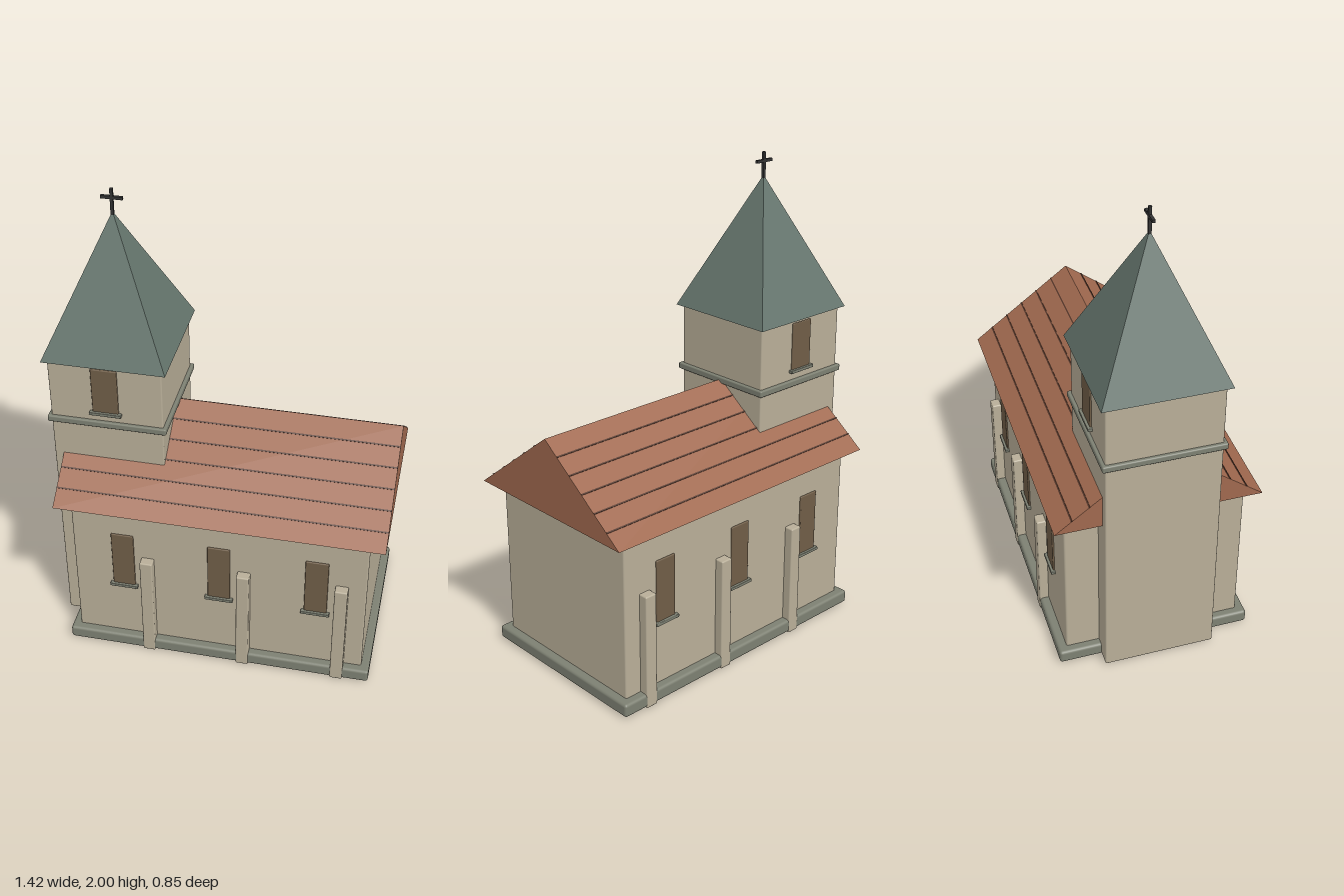
import * as THREE from 'three';
import { RoundedBoxGeometry } from 'three/addons/geometries/RoundedBoxGeometry.js';

const mat = (color, flatShading = false) => new THREE.MeshStandardMaterial({ color, flatShading });

export function createModel() {
  const church = new THREE.Group();
  church.name = 'church';
  const wall = mat(0xb8ae98), stone = mat(0x7d8072), tile = mat(0xa0694f, true), seam = mat(0x5a3a2c);
  const slate = mat(0x66766e, true), pane = mat(0x6f5d47), iron = mat(0x333333);

  const add = (name, geometry, material, parent = church) => {
    const mesh = new THREE.Mesh(geometry, material);
    mesh.name = name;
    parent.add(mesh);
    return mesh;
  };
  // Box given by its min and max on each axis, with an optional softened edge
  const box = (name, material, [x0, x1], [y0, y1], [z0, z1], bevel = 0, parent = church) => {
    const size = [x1 - x0, y1 - y0, z1 - z0];
    const geometry = bevel ? new RoundedBoxGeometry(...size, 2, bevel) : new THREE.BoxGeometry(...size);
    const mesh = add(name, geometry, material, parent);
    mesh.position.set((x0 + x1) / 2, (y0 + y1) / 2, (z0 + z1) / 2);
    return mesh;
  };

  // Nave and its plinth
  box('nave', wall, [-0.595, 0.645], [0.02, 0.755], [-0.373, 0.373], 0.008);
  box('plinth', stone, [-0.63, 0.68], [0.005, 0.062], [-0.41, 0.41], 0.012);

  // Gable roof: triangle extruded along x
  const eave = 0.75, ridge = 1.07, half = 0.425, x0 = -0.655, x1 = 0.71;
  const gable = new THREE.Shape([
    new THREE.Vector2(-half, eave), new THREE.Vector2(half, eave), new THREE.Vector2(0, ridge),
  ]);
  const roof = add('roof', new THREE.ExtrudeGeometry(gable, { depth: x1 - x0, bevelEnabled: false }), tile);
  roof.rotation.y = Math.PI / 2;
  roof.position.x = x0;

  // Thin tile courses along both slopes
  const pitch = Math.atan2(ridge - eave, half);
  for (const side of [-1, 1]) {
    for (let i = 1; i <= 5; i++) {
      const t = i / 6;
      const course = add('tileCourse', new THREE.BoxGeometry(x1 - x0, 0.005, 0.006), seam);
      course.position.set((x0 + x1) / 2, ridge - t * (ridge - eave), side * t * half);
      course.rotation.x = side * pitch;
    }
  }

  // Window with sill on a wall that faces +z or -z
  const windowAt = (name, x, y0, y1, width, z, side) => {
    const group = new THREE.Group();
    group.name = name;
    if (side < 0) group.rotation.y = Math.PI;
    const c = x * side;
    box('pane', pane, [c - width / 2, c + width / 2], [y0, y1], [z - 0.02, z + 0.007], 0.004, group);
    box('sill', stone, [c - width / 2 - 0.012, c + width / 2 + 0.012], [y0 - 0.01, y0 + 0.004],
      [z - 0.02, z + 0.018], 0.003, group);
    church.add(group);
  };

  // Windows and buttresses along both long walls
  for (const side of [-1, 1]) {
    for (const x of [-0.382, 0.028, 0.437]) {
      windowAt('naveWindow', x, 0.34, 0.612, 0.096, 0.373, side);
      const b = x + 0.106;
      const [near, far] = [0.36 * side, 0.412 * side].sort((p, q) => p - q);
      box('buttress', wall, [b - 0.027, b + 0.027], [0, 0.5], [near, far], 0.006);
    }
    windowAt('towerWindow', -0.462, 1.125, 1.33, 0.108, 0.233, side);
  }

  // Tower, belt course and pyramid spire
  const tx = -0.46;
  box('tower', wall, [tx - 0.233, tx + 0.233], [0.01, 1.35], [-0.233, 0.233], 0.006);
  box('beltCourse', stone, [tx - 0.247, tx + 0.247], [1.055, 1.083], [-0.247, 0.247], 0.006);
  const pyramid = new THREE.ConeGeometry(0.253 * Math.SQRT2, 0.56, 4);
  pyramid.rotateY(Math.PI / 4);
  add('spire', pyramid, slate).position.set(tx, 1.345 + 0.28, 0);

  // Cross on the spire
  box('crossPost', iron, [tx - 0.006, tx + 0.006], [1.88, 2], [-0.006, 0.006]);
  box('crossBar', iron, [tx - 0.044, tx + 0.044], [1.957, 1.969], [-0.006, 0.006]);

  return church;
}
